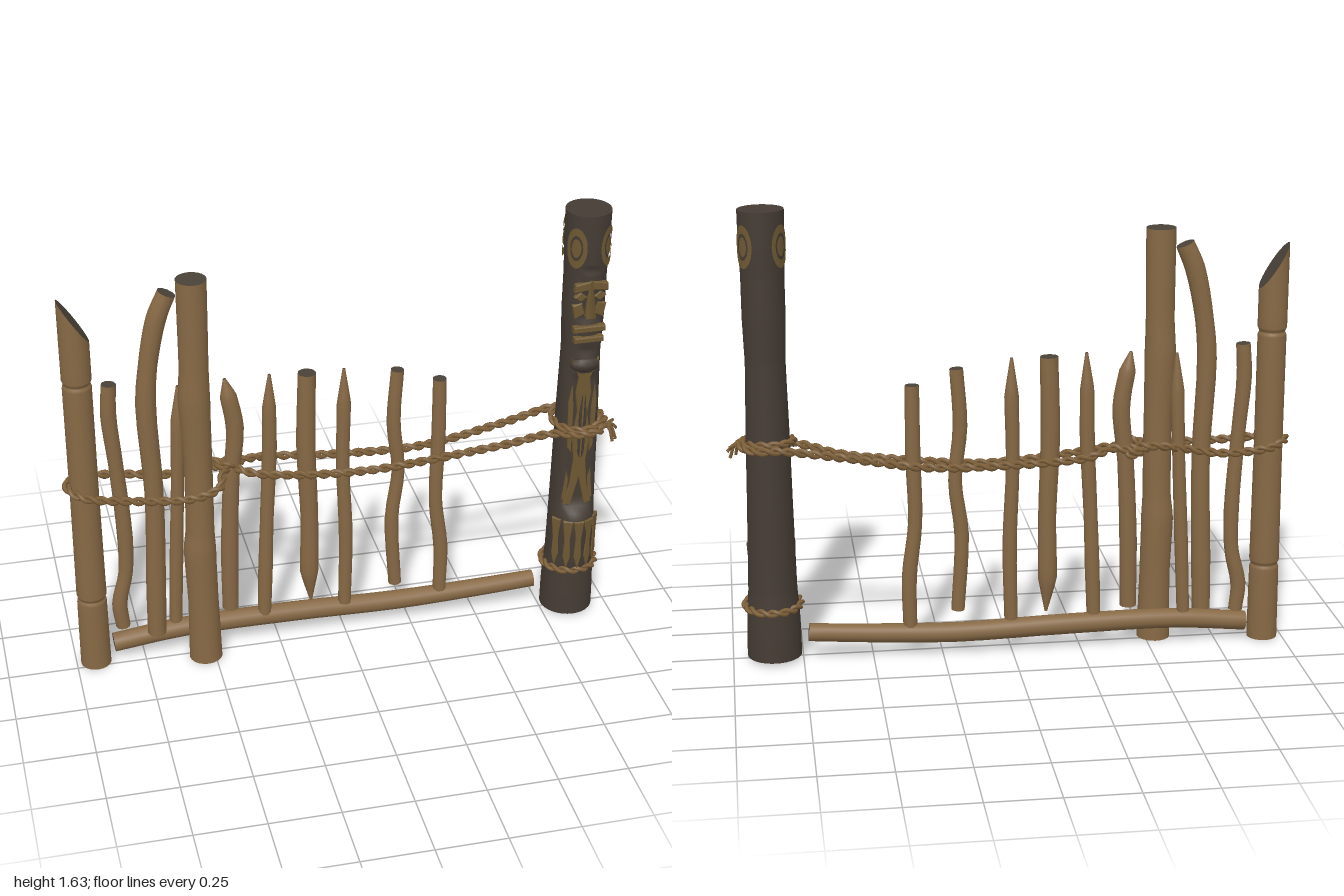
import * as THREE from 'three';

const mat = (name, color) => {
  const m = new THREE.MeshStandardMaterial({ color });
  m.name = name;
  return m;
};
const V = (x, y, z) => new THREE.Vector3(x, y, z);

export function createModel() {
  const model = new THREE.Group();
  const wood = mat('wood', 0x876945);
  const cutEnd = mat('cut end', 0x4a4238);
  const darkWood = mat('dark wood', 0x453c34);
  const ochre = mat('ochre carving', 0x6e5833);
  const rope = mat('rope', 0x7d5f39);

  const add = (name, geo, material, parent = model) => {
    const mesh = new THREE.Mesh(geo, material);
    mesh.name = name;
    parent.add(mesh);
    return mesh;
  };

  // Round log through points [x, y, z, radius], with capped ends
  function log(points, { sides = 14, steps = 4, rule } = {}) {
    const curve = new THREE.CatmullRomCurve3(points.map(p => V(p[0], p[1], p[2])));
    const n = (points.length - 1) * steps, pos = [], idx = [], caps = [];
    const centres = [];
    for (let i = 0; i <= n; i++) {
      const t = i / n, k = Math.min(Math.floor(i / steps), points.length - 2), f = i / steps - k;
      const r = points[k][3] * (1 - f) + points[k + 1][3] * f;
      const c = curve.getPoint(t), T = curve.getTangent(t);
      const N = V(0, 0, 1).cross(T).normalize(), B = T.clone().cross(N);
      centres.push(c);
      for (let j = 0; j < sides; j++) {
        const a = j / sides * Math.PI * 2;
        const p = c.clone().addScaledVector(N, r * Math.cos(a)).addScaledVector(B, r * Math.sin(a));
        if (rule) rule(p, r);
        pos.push(p.x, p.y, p.z);
        if (i < n) {
          const j2 = (j + 1) % sides, A = i * sides;
          idx.push(A + j, A + j2, A + sides + j, A + j2, A + sides + j2, A + sides + j);
        }
      }
    }
    const sideCount = idx.length;
    for (const end of [0, n]) {
      const base = pos.length / 3, c = centres[end];
      for (let j = 0; j < sides; j++) pos.push(...pos.slice((end * sides + j) * 3, (end * sides + j) * 3 + 3));
      pos.push(c.x, c.y, c.z);
      for (let j = 0; j < sides; j++) {
        const a = base + j, b = base + (j + 1) % sides;
        caps.push(base + sides, end ? a : b, end ? b : a);
      }
    }
    const g = new THREE.BufferGeometry();
    g.setAttribute('position', new THREE.Float32BufferAttribute(pos, 3));
    g.setIndex(idx.concat(caps));
    g.addGroup(0, sideCount, 0);
    g.addGroup(sideCount, caps.length, 1);
    g.computeVertexNormals();
    return g;
  }

  // Tall posts with swollen joints; the left one is cut at a slant
  add('slantedPost', log([[-.93, 0, -.03, .055], [-.93, .27, -.03, .053], [-.93, .285, -.03, .047], [-.93, .3, -.03, .054],
    [-.93, .7, -.03, .051], [-.93, 1.14, -.03, .051], [-.93, 1.155, -.03, .045], [-.93, 1.17, -.03, .052], [-.93, 1.39, -.03, .052]],
  { sides: 20, rule: p => { p.y -= (p.x + .93) * 1.55 * THREE.MathUtils.smoothstep(p.y, 1.18, 1.38); } }), [wood, cutEnd]);
  add('tallPost', log([[-.533, 0, .022, .06], [-.535, .25, .022, .055], [-.54, .46, .022, .058], [-.537, .55, .022, .051],
    [-.535, .85, .022, .05], [-.54, 1.07, .022, .056], [-.537, 1.2, .022, .051], [-.535, 1.525, .022, .053]], { sides: 20 }), [wood, cutEnd]);

  // Bottom rail
  add('bottomRail', log([[-.86, .065, -.04, .035], [-.6, .09, -.045, .036], [-.2, .09, -.05, .037], [.2, .08, -.05, .036],
    [.5, .09, -.045, .034], [.73, .103, -.04, .032]]), [wood, cutEnd]);

  // Crooked pickets: depth, radius, whether top or bottom is pointed, then [x, y] from the bottom up
  const pickets = [
    [-.06, .028, 0, 0, [[-.82, .12], [-.828, .22], [-.8, .35], [-.795, .5], [-.812, .8], [-.827, 1], [-.82, 1.12]]],
    [-.005, .036, 0, 0, [[-.705, .11], [-.7, .3], [-.69, .7], [-.703, 1.05], [-.69, 1.2], [-.653, 1.38], [-.615, 1.47]]],
    [-.05, .025, 1, 0, [[-.628, .12], [-.615, .4], [-.6, .7], [-.59, .95], [-.585, 1.09]]],
    [-.045, .032, 1, 0, [[-.425, .15], [-.422, .4], [-.408, .7], [-.39, .9], [-.41, 1.03], [-.422, 1.1]]],
    [-.04, .027, 1, 0, [[-.3, .11], [-.293, .3], [-.285, .5], [-.27, .8], [-.268, .97], [-.265, 1.1]]],
    [-.04, .035, 0, 1, [[-.125, .14], [-.13, .27], [-.128, .5], [-.138, .8], [-.132, 1.09]]],
    [-.04, .026, 1, 0, [[.002, .11], [.007, .4], [-.004, .7], [0, .95], [0, 1.09]]],
    [-.045, .026, 0, 0, [[.195, .165], [.18, .45], [.202, .65], [.183, .85], [.195, 1.06]]],
    [-.045, .027, 0, 0, [[.367, .11], [.368, .3], [.345, .5], [.35, .75], [.35, 1.005]]],
  ];
  pickets.forEach(([z, r, top, bottom, path], i) => add('picket' + (i + 1), log(path.map(([x, y], k) => {
    const tip = (top && k === path.length - 1) || (bottom && k === 0);
    return [x, y, z, tip ? .005 : r * (k % 2 ? 1 : .93)];
  }), { sides: 10 }), [wood, cutEnd]));

  // Carved pole: the front is cut back or swollen to a depth that changes with height
  const pole = new THREE.Group();
  pole.name = 'carvedPole';
  pole.position.x = .852;
  model.add(pole);
  const depths = [[0, .097], [.2, .094], [.24, .1], [.38, .108], [.44, .1], [.48, .055], [1.0, .055], [1.04, .075], [1.08, .075],
    [1.11, .055], [1.14, .078], [1.21, .08], [1.23, .058], [1.28, .064], [1.34, .066], [1.36, .082], [1.4, .082], [1.425, .066], [1.45, .09], [2, .09]];
  const depthAt = y => {
    const k = Math.max(1, depths.findIndex(d => d[0] > y));
    const [a, b] = [depths[k - 1], depths[k]];
    return THREE.MathUtils.mapLinear(y, a[0], b[0], a[1], b[1]);
  };
  add('poleBody', log([[0, .012, 0, .097], [0, .1, 0, .096], [0, .19, 0, .093], [0, .26, 0, .087], [0, .45, 0, .083], [0, .6, 0, .08],
    [0, .8, 0, .077], [0, 1, 0, .072], [0, 1.1, 0, .07], [0, 1.25, 0, .075], [0, 1.4, 0, .075], [0, 1.5, 0, .079], [0, 1.63, 0, .08]],
  { sides: 32, steps: 8, rule: (p, r) => {
    if (p.z <= 0) return;
    const d = depthAt(p.y);
    p.z = p.y < .46 && d > r ? p.z * d / r : Math.min(p.z, d);
  } }), [darkWood, darkWood], pole);

  // Raised carving from an outline
  function carve(name, pts, z, depth, material = ochre, parent = pole) {
    const shape = new THREE.Shape(pts.map(p => new THREE.Vector2(p[0], p[1])));
    const g = new THREE.ExtrudeGeometry(shape, { depth, bevelEnabled: true, bevelSize: .003, bevelThickness: .004, bevelSegments: 1 });
    g.translate(0, 0, z);
    return add(name, g, material, parent);
  }
  const bar = (x0, x1, y0, y1) => [[x0, y0], [x1, y0], [x1, y1], [x0, y1]];

  // Long body figure with splayed legs
  const half = [[.048, 1.075], [.018, 1.0], [.026, .94], [.016, .86], [.03, .76], [.02, .66], [.03, .56], [.05, .485], [.028, .48]];
  carve('figureBody', [[0, 1.03], ...half, [0, .6], ...half.map(([x, y]) => [-x, y]).reverse()].reverse(), .048, .014);
  for (const s of [1, -1]) {
    const m = pts => (s > 0 ? pts : pts.map(([x, y]) => [-x, y]).reverse());
    carve('figureArm', m([[.035, .7], [.045, .72], [.05, .9], [.042, .97], [.036, .88]]), .048, .01);
    carve('figureRib', m([[.004, .68], [.009, .7], [.011, .86], [.005, .93]]), .06, .008, darkWood);
    carve('figureKnee', m([[.045, .49], [.056, .5], [.045, .62], [.038, .58]]), .046, .008);
    // Face
    carve('brow', m([[.006, 1.358], [.058, 1.352], [.056, 1.375], [.006, 1.384]]), .06, .018);
    carve('eye', m([[.016, 1.325], [.035, 1.312], [.054, 1.326], [.035, 1.34]]), .055, .014);
    carve('cheek', m([[.02, 1.26], [.05, 1.245], [.058, 1.29], [.03, 1.298]]), .05, .014);
  }
  carve('upperLip', bar(-.055, .055, 1.196, 1.212), .06, .022);
  carve('lowerLip', bar(-.05, .05, 1.155, 1.17), .06, .022);
  const nose = add('nose', new THREE.CylinderGeometry(.008, .032, .14, 4), ochre, pole);
  nose.geometry.rotateY(Math.PI / 4);
  nose.scale.x = .75;
  nose.position.set(0, 1.32, .07);
  add('chin', new THREE.SphereGeometry(1, 12, 8).scale(.055, .03, .03), darkWood, pole).position.set(0, 1.055, .055);

  // Long pointed fingers around the swollen base
  for (const a of [-.95, -.45, 0, .45, .95]) {
    const finger = new THREE.Group();
    finger.name = 'finger';
    finger.position.set(.084 * Math.sin(a), 0, .103 * Math.cos(a) - .006);
    finger.rotation.y = a * .85;
    pole.add(finger);
    carve('fingerCarving', [[0, .225], [.011, .27], [.008, .34], [.016, .42], [-.016, .42], [-.008, .34], [-.011, .27]], 0, .007, ochre, finger);
  }

  // Ringed ovals wrapped round the top of the pole
  for (const a of [-2.25, -.78, .78, 2.25]) for (const [inner, outer] of [[.62, 1], [.01, .46]]) {
    const g = new THREE.RingGeometry(inner, outer, 24, 4), p = g.attributes.position;
    for (let i = 0; i < p.count; i++) {
      const t = a + p.getX(i) * .48;
      p.setXYZ(i, .084 * Math.sin(t), 1.51 + p.getY(i) * .075, .084 * Math.cos(t));
    }
    g.computeVertexNormals();
    const mesh = add('ovalMark', g, ochre, pole);
    mesh.material.side = THREE.DoubleSide;
  }

  // Two-strand twisted rope along a path
  function twist(name, pts, closed = false, size = .0085) {
    const curve = new THREE.CatmullRomCurve3(pts.map(p => V(...p)), closed);
    const len = curve.getLength(), n = Math.ceil(len / .012), turns = Math.round(len / .09);
    for (const k of [0, 1]) {
      const strand = [];
      for (let i = 0; i < n + (closed ? 0 : 1); i++) {
        const p = curve.getPointAt(i / n), T = curve.getTangentAt(i / n);
        const N = V(0, 1, 0).cross(T).normalize(), B = T.clone().cross(N);
        const a = Math.PI * (2 * turns * i / n + k);
        strand.push(p.addScaledVector(N, size * Math.cos(a)).addScaledVector(B, size * Math.sin(a)));
      }
      add(name, new THREE.TubeGeometry(new THREE.CatmullRomCurve3(strand, closed), n * 2, size, 6, closed), rope);
    }
  }
  const ring = (cx, y, cz, r, tilt = 0) => Array.from({ length: 12 }, (_, i) => {
    const a = i / 6 * Math.PI;
    return [cx + r * Math.cos(a), y + tilt * Math.sin(a), cz + r * Math.sin(a)];
  });
  twist('leftRope', [[-.4, .75, -.05], [-.5, .76, -.08], [-.65, .735, -.06], [-.75, .73, -.1], [-.93, .745, -.1], [-.99, .757, -.03],
    [-.95, .745, .04], [-.75, .725, .08], [-.55, .72, .095], [-.465, .735, .065], [-.445, .755, 0], [-.37, .75, -.06]]);
  twist('rightRope', [[-.5, .76, -.05], [-.45, .745, -.09], [-.36, .755, -.07], [-.27, .735, -.105], [0, .715, -.095], [.3, .715, -.085],
    [.6, .765, -.09], [.8, .8, -.105], [.9, .8, -.092], [.952, .8, 0], [.92, .79, .078], [.85, .79, .098], [.74, .78, .05],
    [.6, .745, .025], [.4, .72, .015], [.1, .695, .01], [-.2, .715, .012], [-.35, .74, 0], [-.43, .76, -.06]]);
  twist('poleRope', ring(.852, .81, 0, .088, -.008), true, .008);
  twist('baseRope', ring(.852, .205, 0, .097, .004), true, .008);
  twist('middleKnot', ring(-.43, .75, -.05, .035, .02), true, .008);

  // Frayed rope ends
  for (const [x, y, z] of [[.995, .765, .035], [.985, .735, .06], [.965, .74, .085], [.99, .785, .01]]) {
    const c = new THREE.CatmullRomCurve3([V(.93, .785, .05), V((x + .94) / 2, .79, (z + .05) / 2), V(x, y, z)]);
    add('ropeEnd', new THREE.TubeGeometry(c, 6, .006, 5), rope);
  }
  return model;
}
